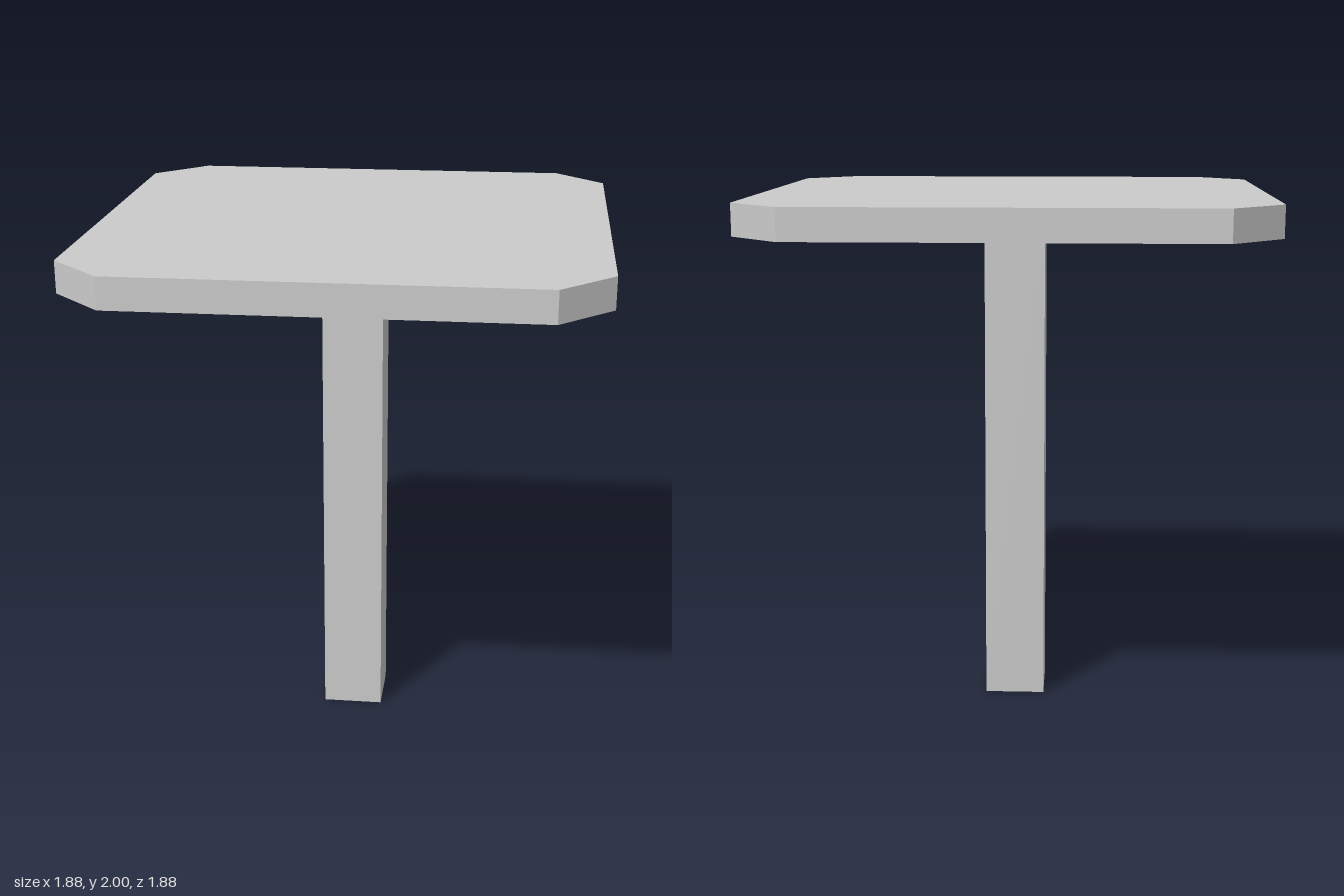
import * as THREE from 'three';

const HEIGHT = 2;
const THICKNESS = 0.115;
const HALF = 0.94; // half width of the table top
const FLAT = 0.75; // half length of each straight edge between corner cuts
const POST = 0.23;

export function createModel() {
  const model = new THREE.Group();
  model.name = 'pedestalTable';
  const material = new THREE.MeshStandardMaterial({ color: 0xcccccc, flatShading: true });

  // Square top with cut corners, extruded upwards
  const outline = new THREE.Shape([
    [HALF, -FLAT], [HALF, FLAT], [FLAT, HALF], [-FLAT, HALF],
    [-HALF, FLAT], [-HALF, -FLAT], [-FLAT, -HALF], [FLAT, -HALF],
  ].map(([x, y]) => new THREE.Vector2(x, y)));
  const topGeometry = new THREE.ExtrudeGeometry(outline, { depth: THICKNESS, bevelEnabled: false });
  topGeometry.rotateX(-Math.PI / 2);
  const top = new THREE.Mesh(topGeometry, material);
  top.name = 'tableTop';
  top.position.y = HEIGHT - THICKNESS;
  model.add(top);

  // Square central post
  const postHeight = HEIGHT - THICKNESS;
  const post = new THREE.Mesh(new THREE.BoxGeometry(POST, postHeight, POST), material);
  post.name = 'post';
  post.position.y = postHeight / 2;
  model.add(post);

  return model;
}
